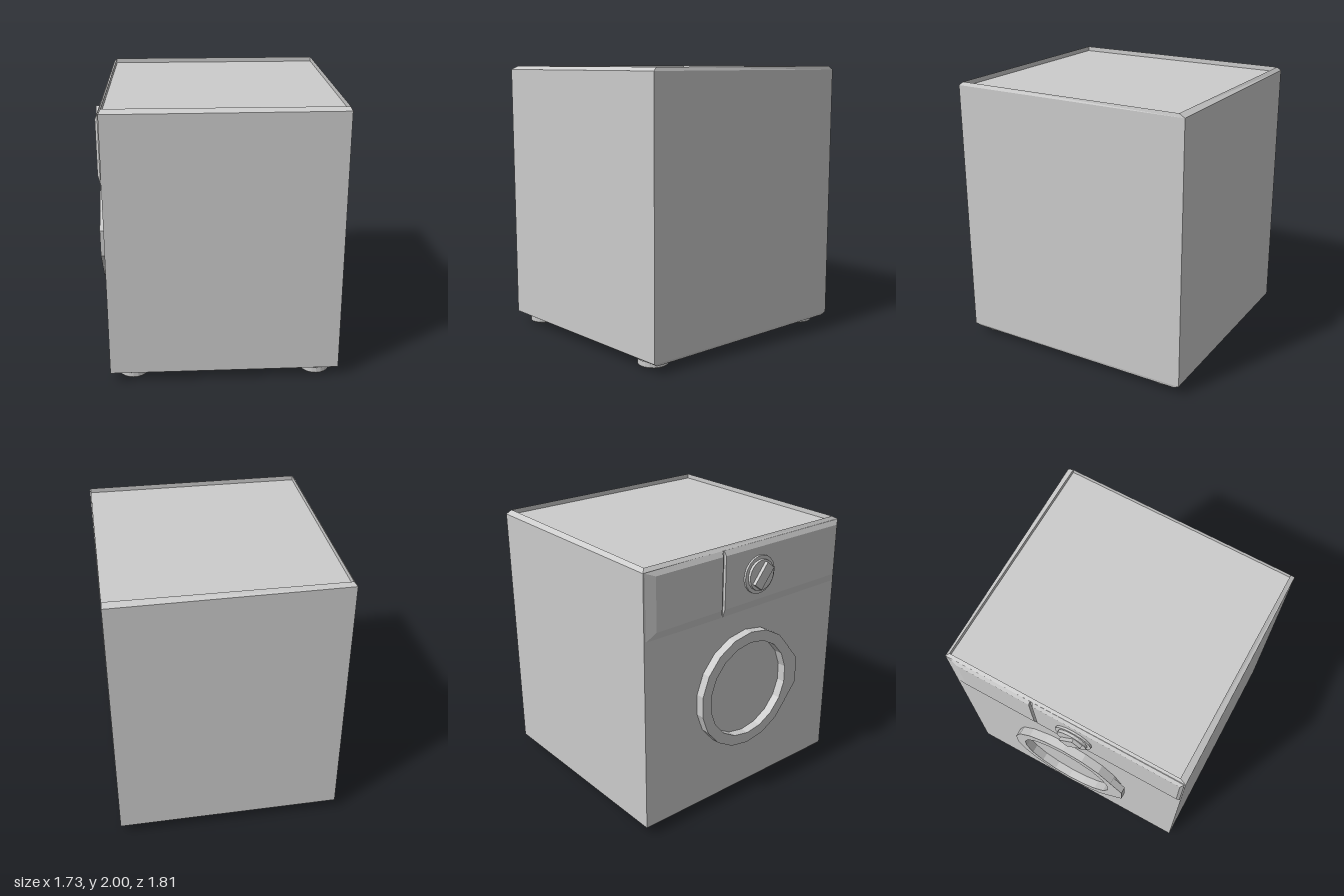
import * as THREE from 'three';

const mat = new THREE.MeshStandardMaterial({ color: 0xcccccc, flatShading: true, side: THREE.DoubleSide });

// Joins four-cornered loops into flat-sided walls, with caps on the first and last loop
function loft(loops) {
  const pos = [];
  const quad = (a, b, c, d) => pos.push(...a, ...b, ...c, ...a, ...c, ...d);
  for (let i = 0; i < loops.length - 1; i++) {
    const lo = loops[i], hi = loops[i + 1];
    for (let k = 0; k < 4; k++) {
      const n = (k + 1) % 4;
      quad(lo[k], hi[k], hi[n], lo[n]);
    }
  }
  quad(...loops[0]);
  quad(...[...loops[loops.length - 1]].reverse());
  const g = new THREE.BufferGeometry();
  g.setAttribute('position', new THREE.Float32BufferAttribute(pos, 3));
  g.computeVertexNormals();
  return g;
}

function polygon(radius, sides, Type = THREE.Shape) {
  const pts = [];
  for (let i = 0; i < sides; i++) {
    const a = (i + 0.5) / sides * Math.PI * 2;
    pts.push(new THREE.Vector2(Math.cos(a) * radius, Math.sin(a) * radius));
  }
  return new Type(pts);
}

export function createModel() {
  const model = new THREE.Group();
  const add = (name, geometry, x = 0, y = 0, z = 0) => {
    const m = new THREE.Mesh(geometry, mat);
    m.name = name;
    m.position.set(x, y, z);
    model.add(m);
    return m;
  };
  // Plate drawn in (z, y) that grows from x towards -x, where the door is
  const plate = (name, shape, depth, x, y, z) => {
    const g = new THREE.ExtrudeGeometry(shape, { depth, bevelEnabled: false });
    g.rotateY(-Math.PI / 2);
    return add(name, g, x, y, z);
  };

  // Cabinet: slightly skewed shell, chamfered edges and a sunken worktop
  const outer = [[-0.79, -0.89], [0.853, -0.908], [0.86, 0.885], [-0.783, 0.903]];
  const inner = [[-0.768, -0.865], [0.849, -0.865], [0.849, 0.855], [-0.768, 0.855]];
  const at = (loop, y) => loop.map(([x, z]) => [x, y, z]);
  add('cabinet', loft([
    at(inner, 0.055), at(outer, 0.075), at(outer, 1.975), at(inner, 2), at(inner, 1.965),
  ]));

  // Control panel and detergent drawer: shallow raised pads with sloping rims
  const pad = (name, z0, z1, in0, in1) => {
    const rect = (x, y0, y1, a, b) => [[x, y0, a], [x, y0, b], [x, y1, b], [x, y1, a]];
    add(name, loft([
      rect(-0.775, 1.5, 1.975, z0, z1),
      rect(-0.788, 1.5, 1.975, z0, z1),
      rect(-0.805, 1.56, 1.94, z0 + in0, z1 - in1),
    ]));
  };
  pad('detergentDrawer', -0.885, -0.235, 0.085, 0.005);
  pad('controlPanel', -0.22, 0.895, 0.005, 0.02);

  // Programme dial: base disc, knob and slanted grip
  plate('dialBase', polygon(0.138, 20), 0.03, -0.79, 1.745, 0.09);
  plate('dialKnob', polygon(0.112, 20), 0.02, -0.82, 1.745, 0.09);
  const grip = add('dialGrip', new THREE.BoxGeometry(0.03, 0.08, 0.18), -0.85, 1.745, 0.09);
  grip.rotation.x = -0.9;

  // Door ring with a pull tab that stands clear of the cabinet
  const ring = polygon(0.445, 18);
  ring.holes.push(polygon(0.365, 18, THREE.Path));
  plate('doorRing', ring, 0.07, -0.78, 0.905, 0);
  const tab = new THREE.Shape([[0.36, -0.25], [0.48, -0.1], [0.48, 0.1], [0.36, 0.25], [0.41, 0]]
    .map(([z, y]) => new THREE.Vector2(z, y)));
  plate('doorPull', tab, 0.05, -0.8, 0.905, 0);

  // Feet with rounded undersides
  const foot = new THREE.LatheGeometry(
    [[0, 0], [0.06, 0.003], [0.098, 0.014], [0.106, 0.022], [0.106, 0.06]]
      .map(([r, y]) => new THREE.Vector2(r, y)), 20);
  for (const x of [-0.62, 0.705]) for (const z of [-0.74, 0.765]) add('foot', foot, x, 0, z);

  return model;
}
